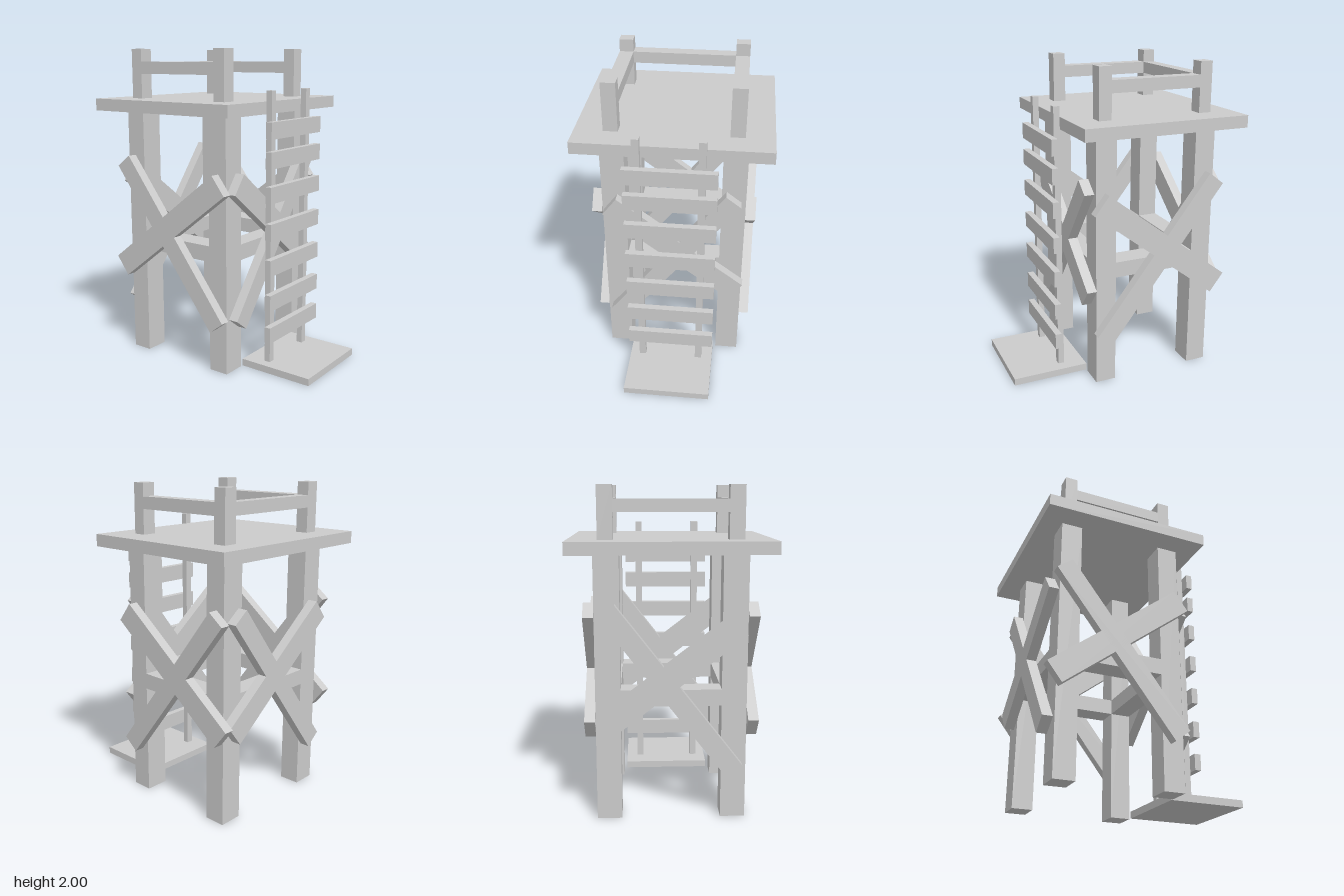
import * as THREE from 'three';

const material = new THREE.MeshStandardMaterial({ color: 0xcccccc, flatShading: true });

export function createModel() {
  const model = new THREE.Group();

  // Box given by its extents on each axis
  const box = (name, [x0, x1], [y0, y1], [z0, z1], parent = model) => {
    const mesh = new THREE.Mesh(new THREE.BoxGeometry(x1 - x0, y1 - y0, z1 - z0), material);
    mesh.position.set((x0 + x1) / 2, (y0 + y1) / 2, (z0 + z1) / 2);
    mesh.name = name;
    parent.add(mesh);
    return mesh;
  };

  // Four legs and the deck
  const legX = [[-0.45, -0.3], [0.3, 0.45]];
  const legZ = [[-0.577, -0.445], [0.085, 0.217]];
  for (const x of legX) for (const z of legZ) box('leg', x, [0, 1.615], z);
  box('deck', [-0.6, 0.6], [1.615, 1.69], [-0.71, 0.345]);

  // Horizontal beams joining the legs
  const beamY = [0.71, 0.81];
  for (const z of legZ) box('crossBeam', [-0.3, 0.3], beamY, z);
  for (const x of legX) box('sideBeam', x, beamY, [-0.445, 0.085]);

  // Guard rail: four posts, rails on the sides and back
  const postX = [[-0.423, -0.333], [0.333, 0.423]];
  const postZ = [[-0.555, -0.475], [0.107, 0.187]];
  const railY = [1.845, 1.92];
  for (const x of postX) {
    for (const z of postZ) box('railPost', x, [1.69, 2], z);
    box('sideRail', x, railY, [-0.475, 0.107]);
  }
  box('backRail', [-0.333, 0.333], railY, postZ[0]);

  // Crossed planks, drawn in a plane facing +z
  const plank = (name, [x0, y0], [x1, y1], width, parent) => {
    const length = Math.hypot(x1 - x0, y1 - y0);
    const mesh = new THREE.Mesh(new THREE.BoxGeometry(length, width, 0.063), material);
    mesh.position.set((x0 + x1) / 2, (y0 + y1) / 2, 0);
    mesh.rotation.z = Math.atan2(y1 - y0, x1 - x0);
    mesh.name = name;
    parent.add(mesh);
  };
  const brace = (name, x, z, turn) => {
    const group = new THREE.Group();
    group.name = name;
    plank('risingPlank', [-0.376, 0.317], [0.376, 1.291], 0.12, group);
    plank('fallingPlank', [-0.397, 1.206], [0.415, 0.582], 0.148, group);
    group.position.set(x, 0, z);
    group.rotation.y = turn;
    model.add(group);
  };
  brace('frontBrace', 0, 0.2485, 0);
  brace('backBrace', 0, -0.6085, 0);
  brace('leftBrace', 0.4815, -0.193, Math.PI / 2);
  brace('rightBrace', -0.4815, -0.193, Math.PI / 2);

  // Ladder on its base board
  const rungX = [-0.283, 0.281];
  box('ladderBase', rungX, [0, 0.045], [0.217, 0.71]);
  for (const x of [-0.2, 0.187]) {
    box('ladderRail', [x - 0.022, x + 0.022], [0.045, 1.755], [0.348, 0.387]);
  }
  for (const y of [0.25, 0.46, 0.684, 0.91, 1.137, 1.347, 1.524]) {
    box('rung', rungX, [y - 0.051, y + 0.051], [0.387, 0.428]);
  }

  return model;
}
